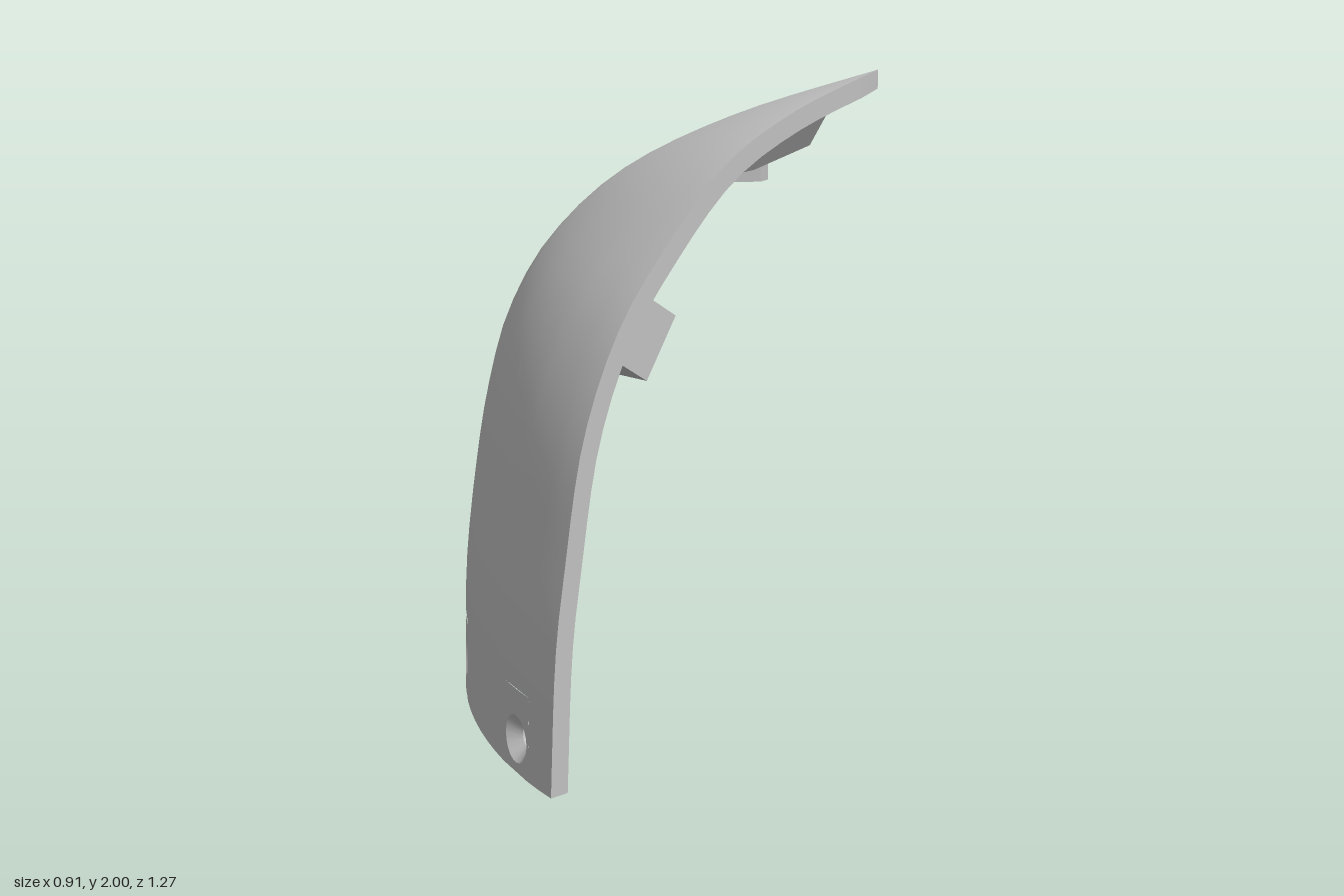
import * as THREE from 'three';
import { toCreasedNormals } from 'three/addons/utils/BufferGeometryUtils.js';

const AXIS_X = 0.455, AXIS_Z = -0.637, THICK = 0.06;
const spline = (pts) => new THREE.SplineCurve(pts.map(([r, y]) => new THREE.Vector2(r, y)));

// Profiles (radius, height) along the two straight-cut sides of the shell
const rightProfile = spline([[1.273, 0], [1.255, 0.39], [1.22, 0.65], [1.155, 1.0], [1.04, 1.28],
  [0.885, 1.49], [0.64, 1.735], [0.354, 1.885], [0, 2]]);
const leftProfile = spline([[1.294, 0.035], [1.285, 0.44], [1.25, 0.76], [1.205, 1.02], [1.135, 1.26],
  [1.0, 1.49], [0.77, 1.7], [0.43, 1.865], [0, 2]]);
const LENGTH = rightProfile.getLength();

// Point on the shell: t sweeps right to left, v runs up the profile, d is depth below the outside
function shellPoint([t, v], d) {
  const s = Math.min(1, Math.max(0, v / LENGTH));
  const p = rightProfile.getPointAt(s).lerp(leftProfile.getPointAt(s), t);
  const q = rightProfile.getTangentAt(s).lerp(leftProfile.getTangentAt(s), t).normalize();
  const r = Math.max(0, p.x * (1 - 0.018 * Math.sin(Math.PI * t)) - q.y * d);
  const a = t * Math.PI / 4;
  return [AXIS_X - r * Math.sin(a), Math.max(0, p.y + q.x * d), AXIS_Z + r * Math.cos(a)];
}

function shellGeometry() {
  const pos = [];
  const quad = (a, b, c, d) => pos.push(...a, ...b, ...c, ...a, ...c, ...d);
  const ts = [0, 0.06, 0.127, 0.287, 0.36, 0.44, 0.52, 0.6, 0.68, 0.757, 0.917, 1];
  const vs = [0, 0.008, 0.25];
  const rows = 26;
  for (let i = 1; i <= rows; i++) vs.push(0.25 + (LENGTH - 0.25) * i / rows);
  const holes = [{ t: 0.207, v: 0.1 }, { t: 0.837, v: 0.128 }];

  // Countersunk hole filling one cell of the grid
  function holeCell(h, t0, t1, v0, v1) {
    const rim = [], n = 8;
    const corners = [[t0, v0], [t1, v0], [t1, v1], [t0, v1]];
    corners.forEach((c, k) => {
      const e = corners[(k + 1) % 4];
      for (let i = 0; i < n; i++) rim.push([c[0] + (e[0] - c[0]) * i / n, c[1] + (e[1] - c[1]) * i / n]);
    });
    const circle = (r) => rim.map(([t, v]) => {
      const a = Math.atan2(v - h.v, t - h.t);
      return [h.t + r * Math.cos(a), h.v + r * Math.sin(a)];
    });
    const rings = [[rim, 0], [circle(0.07), 0], [circle(0.031), 0.038], [circle(0.031), THICK], [rim, THICK]]
      .map(([pts, d]) => pts.map((p) => shellPoint(p, d)));
    for (let j = 0; j < rings.length - 1; j++) {
      for (let k = 0; k < rim.length; k++) {
        const m = (k + 1) % rim.length;
        quad(rings[j][m], rings[j][k], rings[j + 1][k], rings[j + 1][m]);
      }
    }
  }

  const out = (t, v) => shellPoint([t, v], 0);
  const inn = (t, v) => shellPoint([t, v], THICK);
  for (let j = 0; j < vs.length - 1; j++) {
    const v0 = vs[j], v1 = vs[j + 1];
    for (let i = 0; i < ts.length - 1; i++) {
      const t0 = ts[i], t1 = ts[i + 1];
      const hole = holes.find((h) => h.t > t0 && h.t < t1 && h.v > v0 && h.v < v1);
      if (hole) { holeCell(hole, t0, t1, v0, v1); continue; }
      quad(out(t0, v0), out(t0, v1), out(t1, v1), out(t1, v0));
      quad(inn(t0, v0), inn(t1, v0), inn(t1, v1), inn(t0, v1));
    }
    // Straight cut sides
    quad(out(0, v0), inn(0, v0), inn(0, v1), out(0, v1));
    quad(out(1, v0), out(1, v1), inn(1, v1), inn(1, v0));
  }
  // Lower rim
  for (let i = 0; i < ts.length - 1; i++) {
    quad(out(ts[i], 0), out(ts[i + 1], 0), inn(ts[i + 1], 0), inn(ts[i], 0));
  }
  const g = new THREE.BufferGeometry();
  g.setAttribute('position', new THREE.Float32BufferAttribute(pos, 3));
  return toCreasedNormals(g, 0.6);
}

// Flat outline with a round hole, extruded
function drilled(points, depth, hx, hy, hr) {
  const shape = new THREE.Shape(points.map(([x, y]) => new THREE.Vector2(x, y)));
  shape.holes.push(new THREE.Path().absarc(hx, hy, hr, 0, Math.PI * 2, true));
  return new THREE.ExtrudeGeometry(shape, { depth, bevelEnabled: false, curveSegments: 10 });
}

export function createModel() {
  const group = new THREE.Group();
  const grey = new THREE.MeshStandardMaterial({ color: 0xc0c0c0 });
  grey.name = 'light grey';
  const add = (name, geometry) => {
    const mesh = new THREE.Mesh(geometry, grey);
    mesh.name = name;
    group.add(mesh);
    return mesh;
  };

  add('curvedShell', shellGeometry());

  // Upper joining bracket, sloped to follow the underside, with a slanted inner end
  const bracket = drilled([[-0.02, 0.31], [0.37, 0.31], [0.37, 0.548], [-0.02, 0.548]], 0.13, 0.07, 0.43, 0.025);
  bracket.rotateX(-Math.PI / 2);
  const p = bracket.attributes.position;
  for (let i = 0; i < p.count; i++) {
    const x = p.getX(i), y = p.getY(i), z = p.getZ(i);
    const nx = x > 0.3 && y < 0.05 ? 0.26 : x;
    p.setXYZ(i, nx, y + 1.64 + 0.22 * (nx + 0.02) - 0.27 * (z + 0.31), z);
  }
  bracket.computeVertexNormals();
  add('upperBracket', bracket);

  // Six-sided nut seat under the bracket
  const hex = [];
  for (let i = 0; i < 6; i++) {
    const a = i * Math.PI / 3;
    hex.push([0.07 + 0.085 * Math.cos(a), 0.44 + 0.085 * Math.sin(a)]);
  }
  const boss = drilled(hex, 0.088, 0.07, 0.43, 0.025);
  boss.rotateX(-Math.PI / 2);
  add('nutBoss', boss).position.y = 1.652;

  // Small drilled block on the inside of the right edge
  const tab = drilled([[-0.075, -0.1025], [0.075, -0.1025], [0.075, 0.1025], [-0.075, 0.1025]], 0.128, 0, 0, 0.022);
  tab.translate(0, 0, -0.108);
  const tabMesh = add('sideTab', tab);
  tabMesh.rotation.x = -0.549;
  tabMesh.position.set(0.38, 1.2975, 0.3235);

  return group;
}
